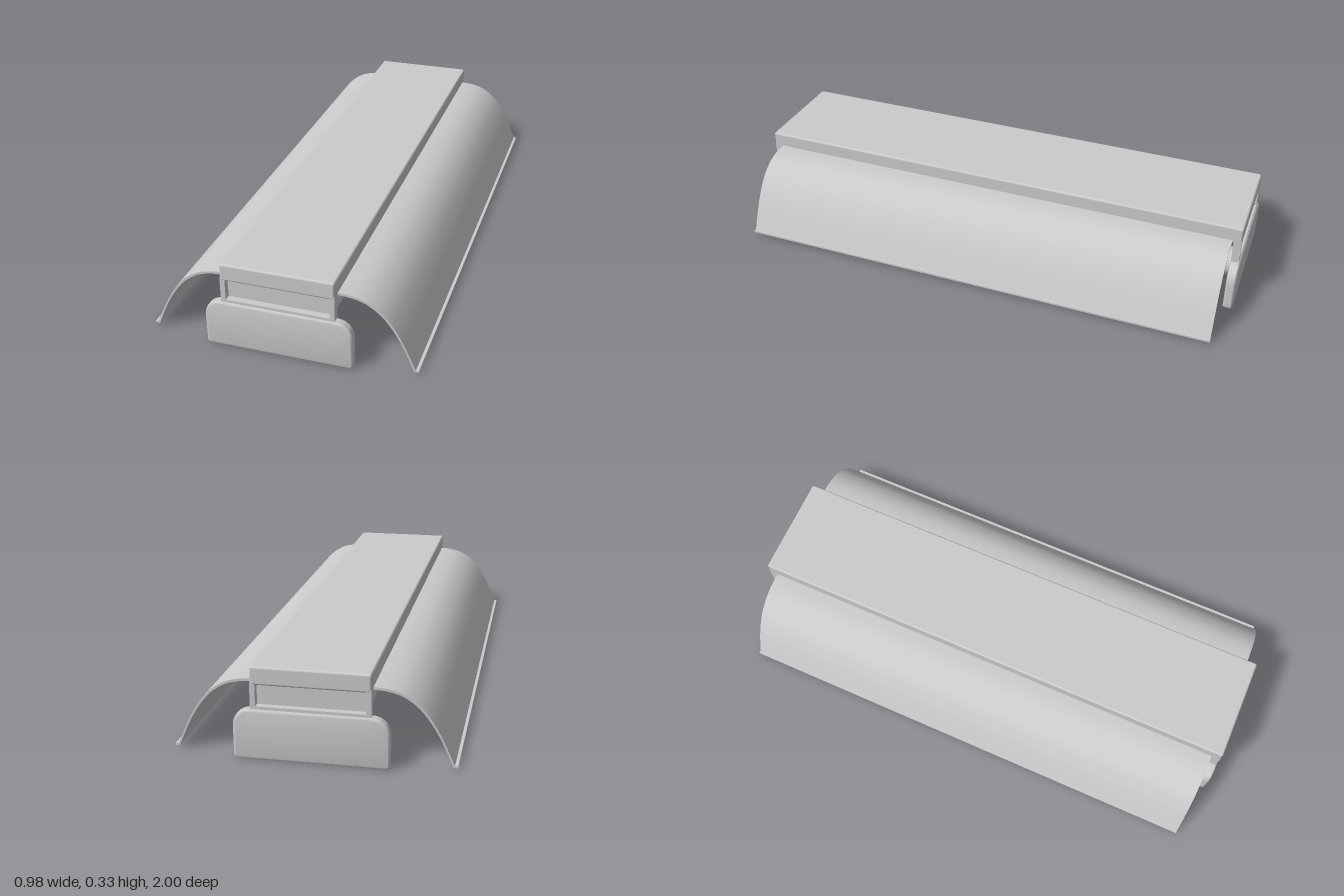
import * as THREE from 'three';
import { toCreasedNormals } from 'three/addons/utils/BufferGeometryUtils.js';
import { RoundedBoxGeometry } from 'three/addons/geometries/RoundedBoxGeometry.js';

const material = new THREE.MeshStandardMaterial({ color: 0xcccccc });

function add(parent, name, geometry, x = 0, y = 0, z = 0) {
  const mesh = new THREE.Mesh(geometry, material);
  mesh.name = name;
  mesh.position.set(x, y, z);
  parent.add(mesh);
  return mesh;
}

// Thin arched sheet with small lips, extruded along z
function reflectorGeometry(halfLength) {
  const outer = [
    [0.2, 0.275], [0.25, 0.271], [0.3, 0.258], [0.345, 0.231],
    [0.38, 0.197], [0.42, 0.137], [0.45, 0.077], [0.477, 0.016],
  ];
  const inner = [
    [0.2, 0.266], [0.25, 0.262], [0.297, 0.25], [0.34, 0.224],
    [0.374, 0.191], [0.414, 0.133], [0.444, 0.074], [0.472, 0.009],
  ];
  const curve = (pts) => new THREE.CatmullRomCurve3(
    pts.map(([x, y]) => new THREE.Vector3(x, y, 0))).getPoints(20).map((p) => [p.x, p.y]);
  const lip = [[0.488, 0.016], [0.488, 0.009]];
  const half = [...curve(outer), ...lip, ...curve(inner).reverse()];
  const mirrored = half.map(([x, y]) => [-x, y]).reverse();
  const shape = new THREE.Shape([...half, ...mirrored].map(([x, y]) => new THREE.Vector2(x, y)));
  const geometry = new THREE.ExtrudeGeometry(shape, { depth: halfLength * 2, bevelEnabled: false });
  geometry.translate(0, 0, -halfLength);
  return toCreasedNormals(geometry, 0.5);
}

// Lamp holder plate with rounded upper shoulders and softened edges
function holderGeometry() {
  const w = 0.267, h = 0.18, r = 0.065, c = 0.012, depth = 0.036, b = 0.008;
  const s = new THREE.Shape();
  s.moveTo(-w + c, 0);
  s.lineTo(w - c, 0);
  s.quadraticCurveTo(w, 0, w, c);
  s.lineTo(w, h - r);
  s.bezierCurveTo(w, h - r * 0.4, w - r * 0.4, h, w - r, h);
  s.lineTo(-w + r, h);
  s.bezierCurveTo(-w + r * 0.4, h, -w, h - r * 0.4, -w, h - r);
  s.lineTo(-w, c);
  s.quadraticCurveTo(-w, 0, -w + c, 0);
  const geometry = new THREE.ExtrudeGeometry(s, {
    depth: depth - 2 * b, bevelThickness: b, bevelSize: b, bevelOffset: -b,
    bevelSegments: 3, curveSegments: 10,
  });
  geometry.translate(0, 0, b - depth / 2);
  return toCreasedNormals(geometry, 0.7);
}

// Tube, ferrules and sockets share one stepped profile
function lathe(points) {
  const geometry = new THREE.LatheGeometry(points.map(([r, z]) => new THREE.Vector2(r, z)), 32);
  geometry.rotateX(Math.PI / 2);
  return toCreasedNormals(geometry, 0.6);
}

export function createModel() {
  const model = new THREE.Group();
  model.name = 'twinTubeLight';

  // Long housing on top of the reflector
  add(model, 'housingLid', new RoundedBoxGeometry(0.41, 0.065, 1.99, 3, 0.008), 0, 0.2975, 0);
  add(model, 'reflector', reflectorGeometry(0.96));

  // Both ends: slotted frame and holder plate
  for (const side of [1, -1]) {
    const end = new THREE.Group();
    end.name = side > 0 ? 'frontEnd' : 'backEnd';
    end.rotation.y = side > 0 ? 0 : Math.PI;
    for (const x of [-1, 1]) {
      add(end, 'framePost', new THREE.BoxGeometry(0.018, 0.115, 0.03), x * 0.196, 0.2175, 0.979);
    }
    add(end, 'frameSill', new THREE.BoxGeometry(0.376, 0.03, 0.03), 0, 0.175, 0.979);
    add(end, 'slotPanel', new THREE.BoxGeometry(0.376, 0.08, 0.006), 0, 0.228, 0.967);
    add(end, 'lampHolder', holderGeometry(), 0, 0, 0.982);
    model.add(end);
  }

  // Pair of lamps between the holders
  for (const x of [-0.1, 0.1]) {
    const lamp = new THREE.Group();
    lamp.name = x > 0 ? 'leftLamp' : 'rightLamp';
    lamp.position.set(x, 0.105, 0);
    add(lamp, 'glassTube', lathe([[0.047, -0.9], [0.047, 0.9]]));
    for (const side of [1, -1]) {
      const socket = add(lamp, 'socket', lathe([
        [0.046, 0.86], [0.05, 0.864], [0.05, 0.905], [0.055, 0.908], [0.055, 0.968], [0, 0.968],
      ]));
      socket.rotation.y = side > 0 ? 0 : Math.PI;
    }
    model.add(lamp);
  }
  return model;
}
